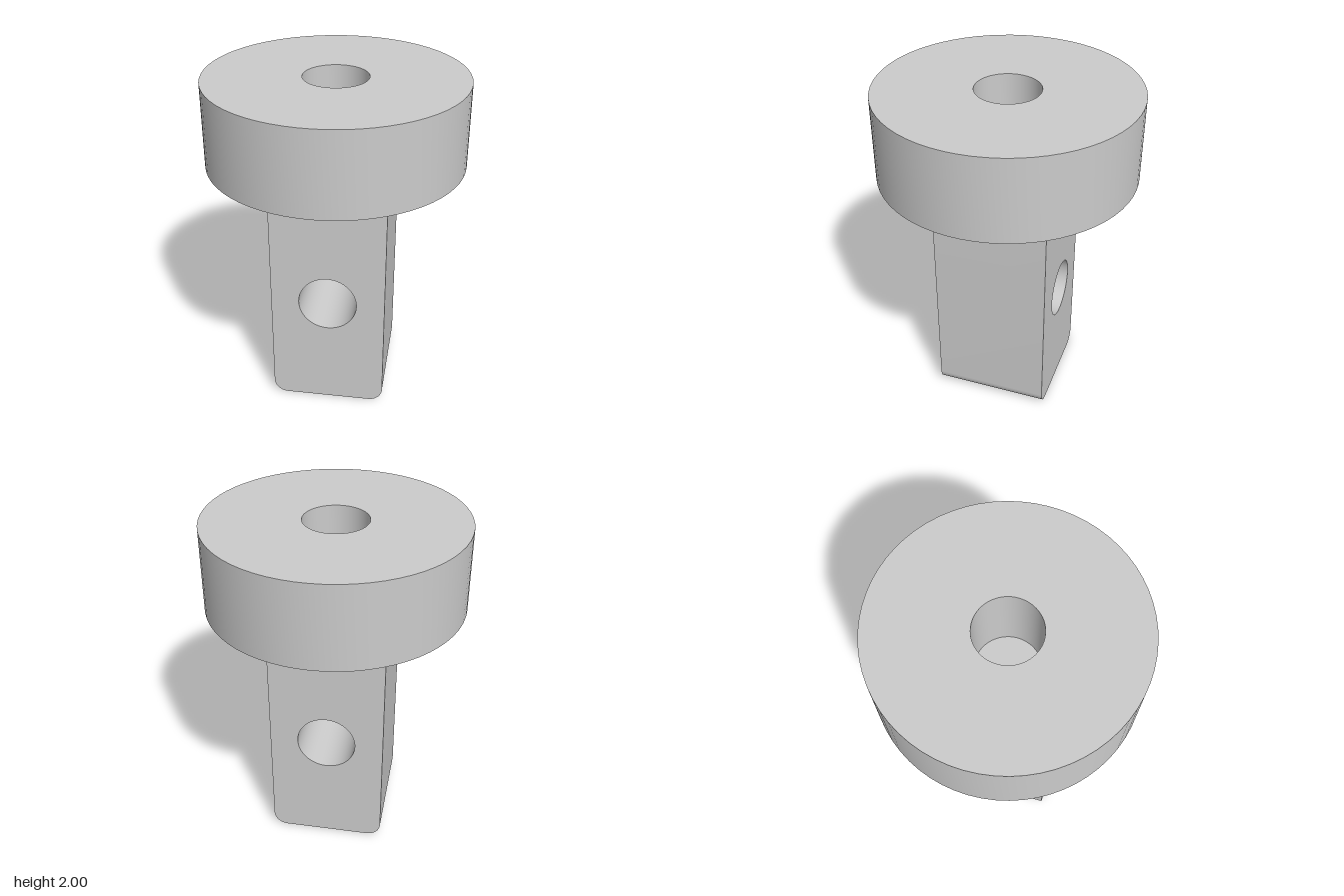
import * as THREE from 'three';
import { toCreasedNormals } from 'three/addons/utils/BufferGeometryUtils.js';

const HEAD_RADIUS = 0.757, HEAD_BOTTOM = 1.5, TOP = 2;
const HALF = 0.342, FILLET = 0.085;

// Extruded plate with one round hole, smooth curves and sharp edges
function drilledPart(name, shape, holeY, holeRadius, depth, material) {
  const hole = new THREE.Path();
  hole.absarc(0, holeY, holeRadius, 0, Math.PI * 2, true);
  shape.holes.push(hole);
  const geometry = new THREE.ExtrudeGeometry(shape, { depth, bevelEnabled: false, curveSegments: 32 });
  const mesh = new THREE.Mesh(toCreasedNormals(geometry, 0.5), material);
  mesh.name = name;
  return mesh;
}

export function createModel() {
  const group = new THREE.Group();
  group.name = 'drilledPin';
  const material = new THREE.MeshStandardMaterial({ color: 0xcccccc });

  // Round head with a central bore; the shank closes its lower end
  const disc = new THREE.Shape();
  disc.absarc(0, 0, HEAD_RADIUS, 0, Math.PI * 2, false);
  const head = drilledPart('head', disc, 0, 0.19, TOP - HEAD_BOTTOM, material);
  head.rotation.x = -Math.PI / 2;
  head.position.y = HEAD_BOTTOM;
  group.add(head);

  // Square shank, rounded at the two lower side edges, with a cross hole
  const profile = new THREE.Shape();
  profile.moveTo(-HALF, HEAD_BOTTOM);
  profile.lineTo(-HALF, FILLET);
  profile.absarc(-HALF + FILLET, FILLET, FILLET, Math.PI, Math.PI * 1.5, false);
  profile.absarc(HALF - FILLET, FILLET, FILLET, Math.PI * 1.5, Math.PI * 2, false);
  profile.lineTo(HALF, HEAD_BOTTOM);
  profile.closePath();
  const shank = drilledPart('shank', profile, 0.7, 0.174, HALF * 2, material);
  shank.position.z = -HALF;
  group.add(shank);

  return group;
}
